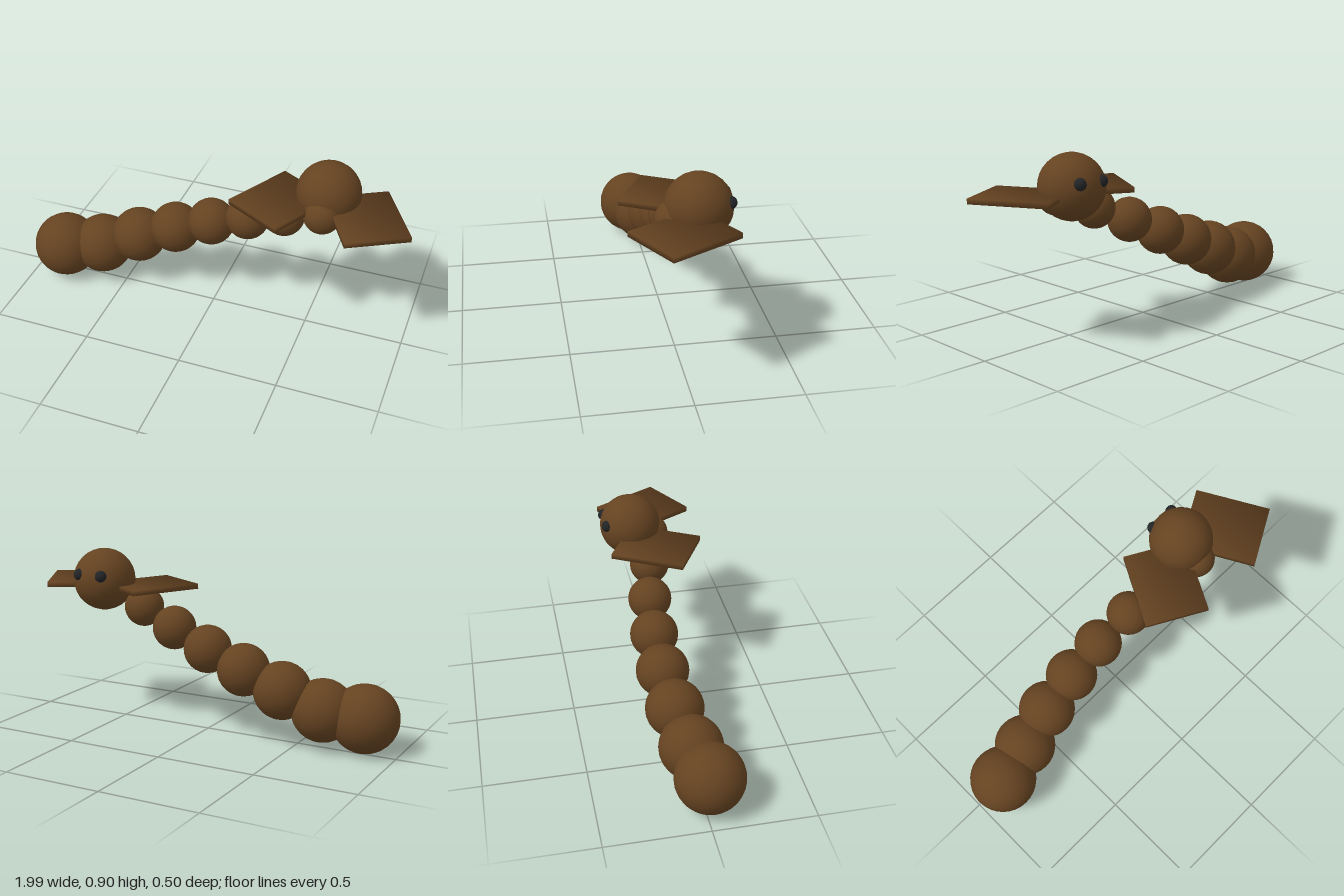
import * as THREE from 'three';

export function createModel() {
  const model = new THREE.Group();
  model.name = 'wingedWorm';

  const brown = new THREE.MeshStandardMaterial({ color: 0x654321 });
  brown.name = 'brown';
  const black = new THREE.MeshStandardMaterial({ color: 0x222426 });
  black.name = 'eyeBlack';

  const ball = (name, r, x, y, z, material, parent = model) => {
    const mesh = new THREE.Mesh(new THREE.SphereGeometry(r, 32, 16), material);
    mesh.name = name;
    mesh.position.set(x, y, z);
    parent.add(mesh);
    return mesh;
  };

  // Body: a rising chain of shrinking balls, [radius, x, y, z]
  const body = new THREE.Group();
  body.name = 'body';
  model.add(body);
  [
    [0.168, -0.832, 0.17, 0.026],
    [0.155, -0.635, 0.195, -0.019],
    [0.143, -0.437, 0.277, -0.057],
    [0.131, -0.238, 0.36, -0.077],
    [0.12, -0.042, 0.443, -0.081],
    [0.11, 0.157, 0.527, -0.065],
    [0.101, 0.355, 0.611, -0.03],
    [0.092, 0.552, 0.69, 0.013],
  ].forEach(([r, x, y, z], i) => ball(`bodySegment${i + 1}`, r, x, y, z, brown, body));

  // Head, with its face turned to the back
  const headX = 0.552;
  ball('head', 0.158, headX, 0.748, -0.096, brown);

  // Wing slab with softened corner normals
  const wingGeometry = new THREE.BoxGeometry(0.316, 0.026, 0.378);
  const { position, normal } = wingGeometry.attributes;
  for (let i = 0; i < position.count; i++) {
    const n = new THREE.Vector3().fromBufferAttribute(position, i);
    n.set(Math.sign(n.x), Math.sign(n.y), Math.sign(n.z)).normalize();
    normal.setXYZ(i, n.x, n.y, n.z);
  }

  // Mirrored eyes and wings
  for (const [side, s] of [['left', 1], ['right', -1]]) {
    ball(`${side}Eye`, 0.03, headX + s * 0.064, 0.783, -0.225, black);
    const wing = new THREE.Mesh(wingGeometry, brown);
    wing.name = `${side}Wing`;
    wing.position.set(headX + s * 0.213, 0.716, 0.006);
    wing.rotation.y = s * 0.5;
    model.add(wing);
  }

  return model;
}
